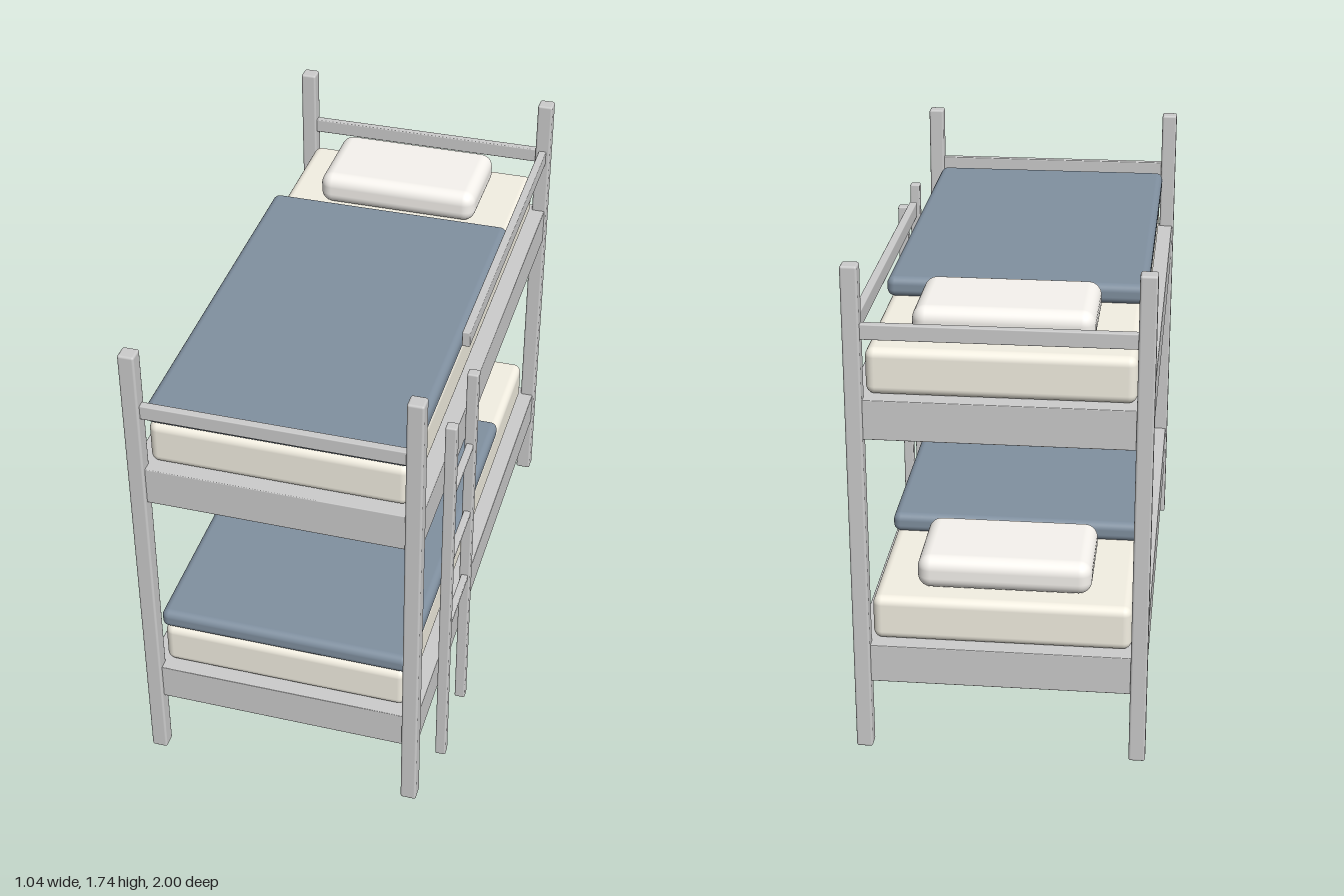
import * as THREE from 'three';
import { RoundedBoxGeometry } from 'three/addons/geometries/RoundedBoxGeometry.js';

const paint = (color) => new THREE.MeshStandardMaterial({ color });

export function createModel() {
  const model = new THREE.Group();
  model.name = 'bunkBed';

  const frame = paint(0xcccccc);
  const sheet = paint(0xf3efe2);
  const pillowCloth = paint(0xf6f3ee);
  const blanketCloth = paint(0x8090a0);

  // Rounded box given by its extents [min, max] on each axis
  function block(parent, name, material, [x0, x1], [y0, y1], [z0, z1], radius, segments = 2) {
    const geometry = new RoundedBoxGeometry(x1 - x0, y1 - y0, z1 - z0, segments, radius);
    const mesh = new THREE.Mesh(geometry, material);
    mesh.position.set((x0 + x1) / 2, (y0 + y1) / 2, (z0 + z1) / 2);
    mesh.name = name;
    parent.add(mesh);
  }

  // Corner posts
  for (const x of [-0.493, 0.439]) {
    for (const z of [-0.972, 0.972]) {
      block(model, 'cornerPost', frame, [x - 0.028, x + 0.028], [0, 1.735], [z - 0.028, z + 0.028], 0.008);
    }
  }

  // Two bunks: base, mattress, blanket and pillow
  for (const [name, y] of [['lowerBunk', 0.252], ['upperBunk', 1.145]]) {
    const bunk = new THREE.Group();
    bunk.name = name;
    bunk.position.y = y;
    block(bunk, 'bedBase', frame, [-0.515, 0.461], [0, 0.137], [-0.985, 0.985], 0.003, 1);
    block(bunk, 'mattress', sheet, [-0.463, 0.409], [0.136, 0.295], [-0.942, 0.942], 0.03, 4);
    block(bunk, 'blanket', blanketCloth, [-0.472, 0.417], [0.292, 0.362], [-0.443, 0.942], 0.026, 4);
    block(bunk, 'pillow', pillowCloth, [-0.323, 0.268], [0.294, 0.412], [-0.872, -0.517], 0.045, 5);
    model.add(bunk);
  }

  // Rails around the upper bunk
  for (const z of [-0.972, 0.972]) {
    block(model, 'endRail', frame, [-0.48, 0.43], [1.488, 1.54], [z - 0.014, z + 0.014], 0.004, 1);
  }
  block(model, 'guardRail', frame, [0.425, 0.453], [1.488, 1.545], [-0.96, 0.315], 0.004, 1);

  // Ladder on the left side
  const ladder = new THREE.Group();
  ladder.name = 'ladder';
  for (const z of [0.447, 0.746]) {
    block(ladder, 'ladderStile', frame, [0.479, 0.517], [0, 1.488], [z - 0.019, z + 0.019], 0.006);
  }
  for (const y of [0.6, 0.895, 1.19]) {
    block(ladder, 'ladderRung', frame, [0.486, 0.51], [y - 0.012, y + 0.012], [0.45, 0.743], 0.005);
  }
  model.add(ladder);

  return model;
}
